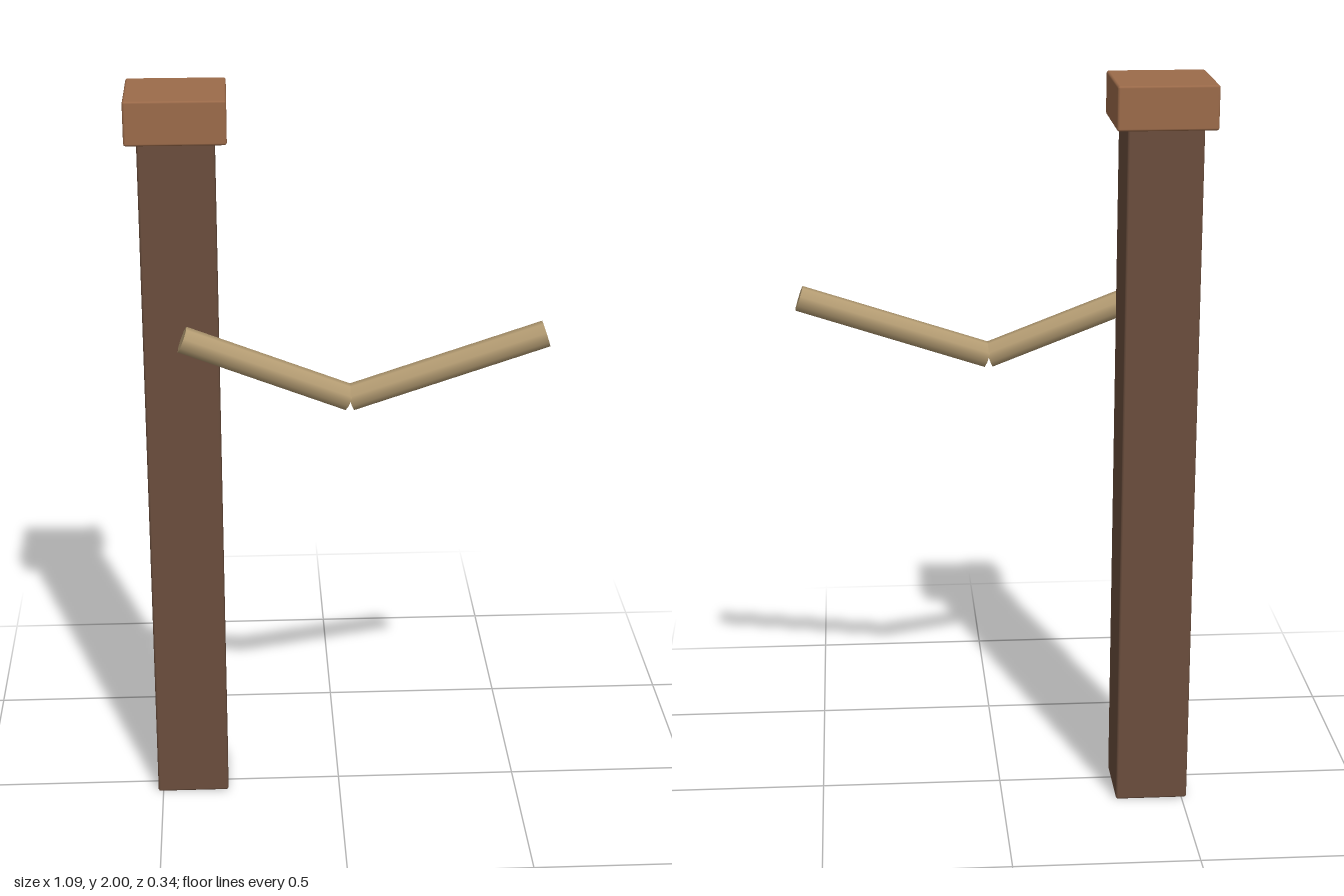
import * as THREE from 'three';
import { RoundedBoxGeometry } from 'three/addons/geometries/RoundedBoxGeometry.js';

const material = (color) => new THREE.MeshStandardMaterial({ color });

// Softly bevelled upright block from y0 to y1
function block(name, width, y0, y1, mat) {
  const mesh = new THREE.Mesh(new RoundedBoxGeometry(width, y1 - y0, width, 1, 0.006), mat);
  mesh.position.set(-0.415, (y0 + y1) / 2, -0.04);
  mesh.name = name;
  return mesh;
}

// Eight-sided rod between two points, flats facing the axes
function rod(name, from, to, radius, mat) {
  const dir = to.clone().sub(from);
  const geometry = new THREE.CylinderGeometry(radius, radius, dir.length(), 8);
  geometry.rotateY(Math.PI / 8);
  const mesh = new THREE.Mesh(geometry, mat);
  mesh.position.copy(from).add(to).multiplyScalar(0.5);
  mesh.quaternion.setFromUnitVectors(new THREE.Vector3(0, 1, 0), dir.normalize());
  mesh.name = name;
  return mesh;
}

export function createModel() {
  const group = new THREE.Group();
  group.name = 'postWithRope';

  // Square post and its cap
  group.add(block('post', 0.198, 0, 1.89, material(0x6b4e3d)));
  group.add(block('postCap', 0.26, 1.885, 2, material(0x9c6b4a)));

  // Two rope lengths sagging to a shared low point
  const ropeMat = material(0xb39b72);
  const low = new THREE.Vector3(0.023, 1.22, 0.137);
  group.add(rod('ropeRight', new THREE.Vector3(-0.41, 1.388, 0.137), low, 0.035, ropeMat));
  group.add(rod('ropeLeft', low, new THREE.Vector3(0.533, 1.388, 0.137), 0.035, ropeMat));

  return group;
}
